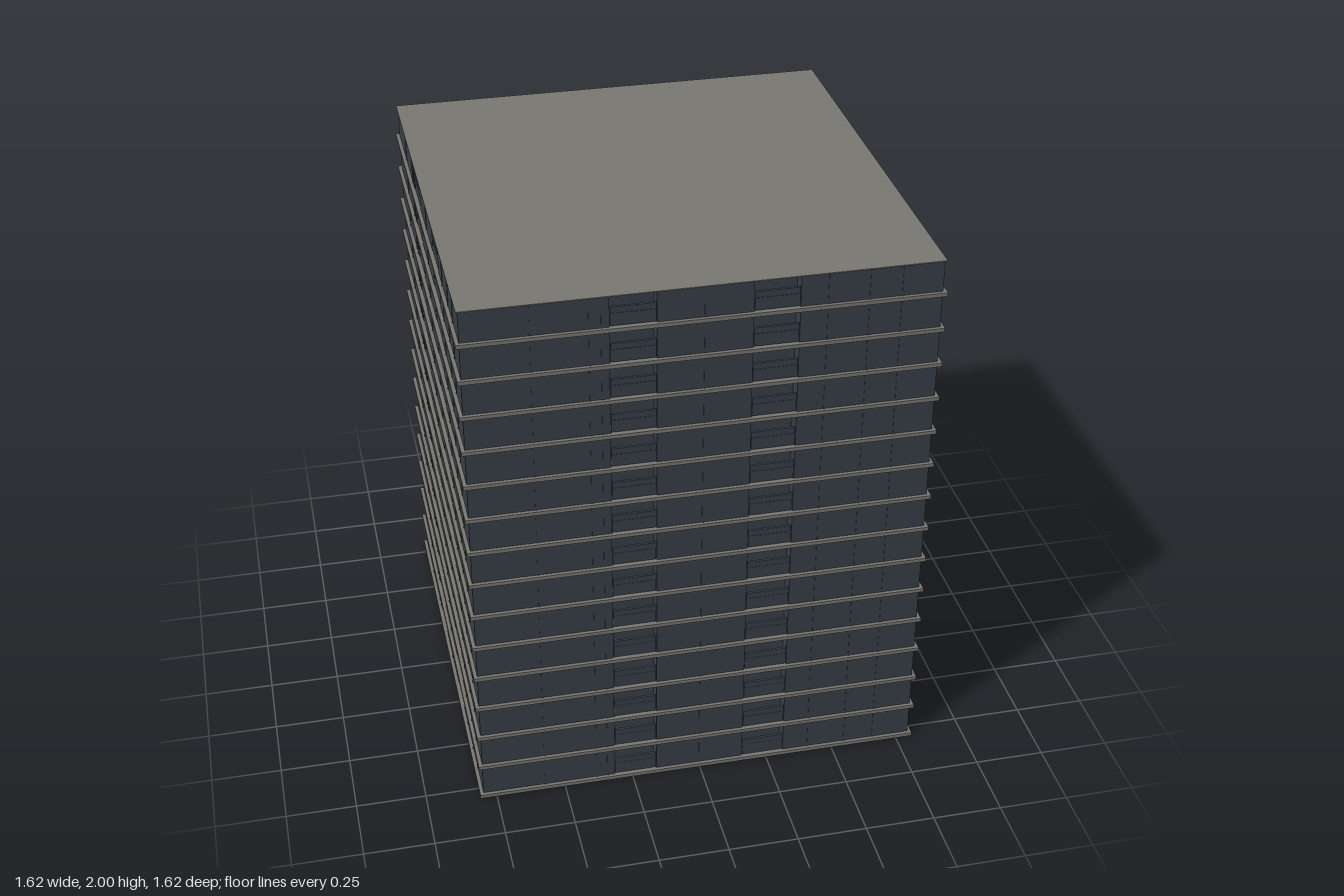
import * as THREE from 'three';

const FLOORS = 15, PITCH = 2 / FLOORS, HALF = 0.797, LEDGE = 0.81;
const NOTCH = [[-0.315, -0.16], [0.16, 0.315]], DEPTH = 0.05;

function material(name, color) {
  const m = new THREE.MeshStandardMaterial({ color });
  m.name = name;
  return m;
}

function box(name, w, h, d, mat, x, y, z) {
  const mesh = new THREE.Mesh(new THREE.BoxGeometry(w, h, d), mat);
  mesh.name = name;
  mesh.position.set(x, y, z);
  return mesh;
}

// Square floor plan with two balcony recesses on every side
function wallPlan() {
  const side = [[-HALF, -HALF]];
  for (const [a, b] of NOTCH) {
    side.push([a, -HALF], [a, -HALF + DEPTH], [b, -HALF + DEPTH], [b, -HALF]);
  }
  const points = [];
  for (let k = 0; k < 4; k++) {
    for (const [x, y] of side) {
      points.push(new THREE.Vector2(x, y).rotateAround(new THREE.Vector2(), k * Math.PI / 2));
    }
  }
  return new THREE.Shape(points);
}

export function createModel() {
  const wall = material('dark facade', 0x3a414a);
  const concrete = material('grey concrete', 0x7a7973);
  const group = new THREE.Group();
  group.name = 'towerBlock';

  const wallGeometry = new THREE.ExtrudeGeometry(wallPlan(), { depth: PITCH - 0.006, bevelEnabled: false });
  wallGeometry.rotateX(-Math.PI / 2);

  for (let i = 0; i < FLOORS; i++) {
    const floor = new THREE.Group();
    floor.name = 'storey' + (i + 1);
    floor.position.y = i * PITCH;

    // Walls, floor plate and projecting ledge
    const walls = new THREE.Mesh(wallGeometry, wall);
    walls.name = 'walls';
    walls.position.y = 0.004;
    floor.add(walls);
    floor.add(box('floorPlate', 1.6, 0.005, 1.6, concrete, 0, 0.0025, 0));
    floor.add(box('ledge', LEDGE * 2, 0.014, LEDGE * 2, concrete, 0, 0.011, 0));

    // Balcony railings: lower panel and top band
    for (let k = 0; k < 4; k++) {
      const side = new THREE.Group();
      side.name = 'balconies';
      side.rotation.y = k * Math.PI / 2;
      for (const [a, b] of NOTCH) {
        const x = (a + b) / 2, w = b - a - 0.004;
        side.add(box('railingPanel', w, 0.045, 0.006, wall, x, 0.0435, HALF - 0.004));
        side.add(box('railingBand', w, 0.022, 0.009, wall, x, 0.079, HALF - 0.004));
      }
      floor.add(side);
    }
    group.add(floor);
  }

  // Slim vertical facade ribs running the full height
  for (let k = 0; k < 4; k++) {
    const ribs = new THREE.Group();
    ribs.name = 'facadeRibs';
    ribs.rotation.y = k * Math.PI / 2;
    for (const x of [-0.57, -0.38, -0.34, 0, 0.41, 0.55, 0.66]) {
      ribs.add(box('rib', 0.006, 1.99, 0.006, wall, x, 0.999, HALF - 0.001));
    }
    group.add(ribs);
  }

  // Flat roof
  group.add(box('roof', 1.606, 0.004, 1.606, concrete, 0, 1.998, 0));
  return group;
}
